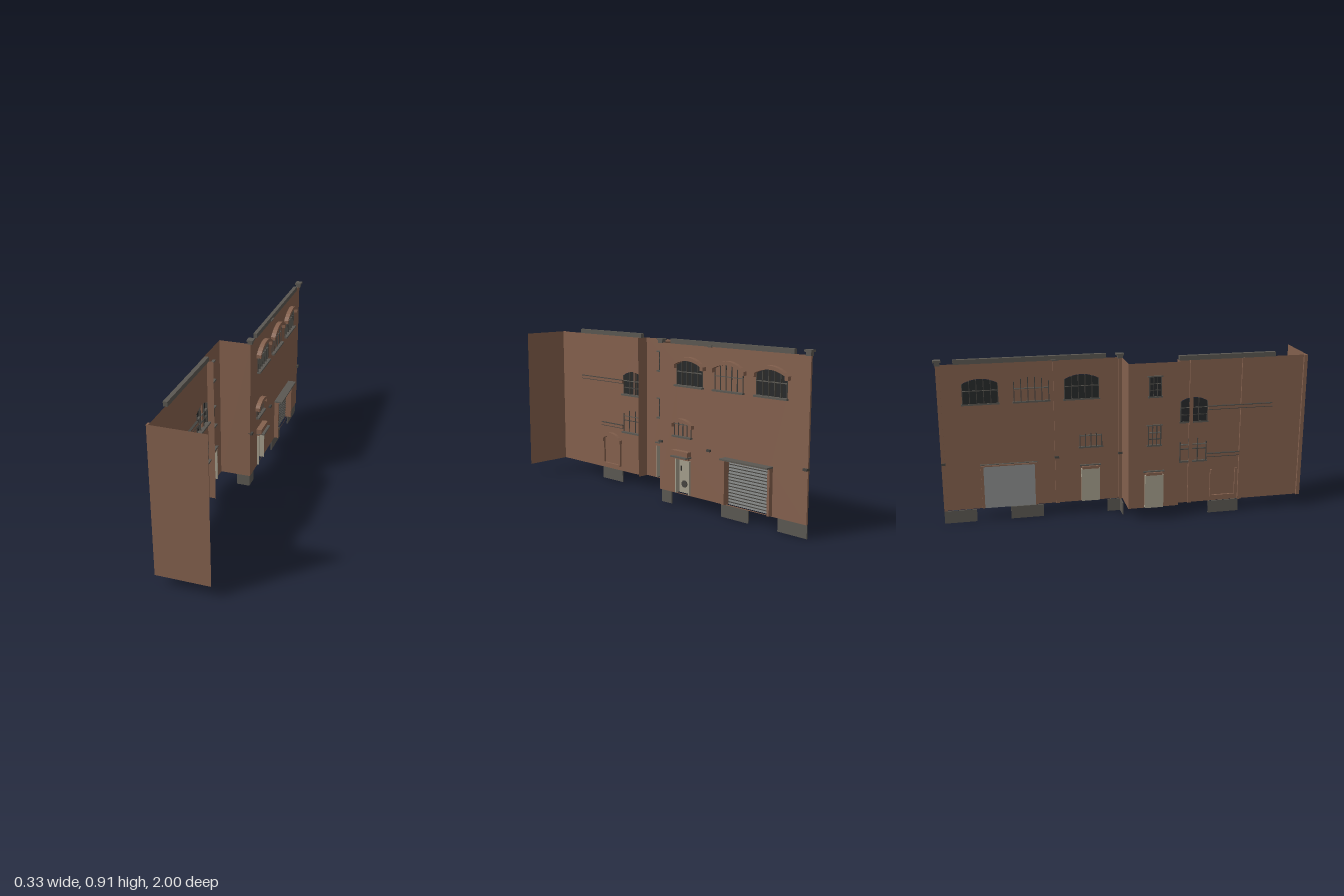
import * as THREE from 'three';

const mat = (name, color) => {
  const m = new THREE.MeshStandardMaterial({ color, side: THREE.DoubleSide });
  m.name = name;
  return m;
};

export function createModel() {
  const brick = mat('brick', 0x83604d);
  const stone = mat('darkStone', 0x5a5751);
  const iron = mat('iron', 0x45433f);
  const glass = mat('darkGlass', 0x27292a);
  const doorPaint = mat('doorPaint', 0xa39c8a);
  const steel = mat('shutterSteel', 0x8c8e8d);
  const model = new THREE.Group();
  model.name = 'brickFacade';
  const BASE = 0.07, TOP = 0.88;

  const add = (parent, name, geo, m) => {
    const mesh = new THREE.Mesh(geo, m);
    mesh.name = name;
    parent.add(mesh);
    return mesh;
  };
  // Box given by its limits
  const box = (parent, name, m, x0, x1, y0, y1, z0, z1) => {
    const b = add(parent, name, new THREE.BoxGeometry(x1 - x0, y1 - y0, z1 - z0), m);
    b.position.set((x0 + x1) / 2, (y0 + y1) / 2, (z0 + z1) / 2);
    return b;
  };

  // Opening outline, with a shallow arch when rise > 0
  const outline = (o, C = THREE.Shape) => {
    const s = new C(), spring = o.y1 - (o.rise || 0);
    s.moveTo(o.a, o.y0);
    s.lineTo(o.b, o.y0);
    s.lineTo(o.b, spring);
    if (o.rise) s.quadraticCurveTo((o.a + o.b) / 2, o.y1 + o.rise, o.a, spring);
    else s.lineTo(o.a, spring);
    s.closePath();
    return s;
  };

  // Facade group: local x runs along -z, local z points outward to +x
  const facade = (name, x, a, b, holes) => {
    const g = new THREE.Group();
    g.name = name;
    g.rotation.y = Math.PI / 2;
    g.position.x = x;
    model.add(g);
    const s = outline({ a, b, y0: BASE, y1: TOP });
    holes.forEach((h) => s.holes.push(outline(h, THREE.Path)));
    add(g, 'wall', new THREE.ShapeGeometry(s, 10), brick);
    return g;
  };

  // Raised brick arch over an opening
  const brow = (g, o, t, depth) => {
    const spring = o.y1 - o.rise, mid = (o.a + o.b) / 2, low = spring - 0.02;
    const s = new THREE.Shape();
    s.moveTo(o.a - t, low);
    s.lineTo(o.a - t, spring);
    s.quadraticCurveTo(mid, o.y1 + o.rise + 2 * t, o.b + t, spring);
    s.lineTo(o.b + t, low);
    s.lineTo(o.b, low);
    s.lineTo(o.b, spring);
    s.quadraticCurveTo(mid, o.y1 + o.rise, o.a, spring);
    s.lineTo(o.a, low);
    s.closePath();
    add(g, 'brickArch', new THREE.ExtrudeGeometry(s, { depth, bevelEnabled: false, curveSegments: 10 }), brick);
  };

  // Window with bars and sill; blind ones keep the brick behind the bars
  const windowUnit = (g, o) => {
    if (o.glazed) add(g, 'pane', new THREE.ShapeGeometry(outline(o), 10), glass).position.z = -0.008;
    const r = 0.002, n = o.bars, rise = o.rise || 0;
    for (let i = 0; i <= n; i++) {
      const t = i / n, u = o.a + (o.b - o.a) * t;
      const top = o.y1 - rise + 4 * rise * t * (1 - t);
      box(g, 'windowBar', iron, u - r, u + r, o.y0, top, -0.011, 0.004);
    }
    for (const y of o.rails) box(g, 'windowRail', y === o.rails[0] ? stone : iron, o.a, o.b, y - r, y + r, -0.011, 0.004);
    box(g, 'sill', stone, o.a - 0.008, o.b + 0.008, o.y0 - 0.007, o.y0 + 0.002, -0.01, 0.018);
    if (rise && !o.plain) brow(g, o, 0.02, 0.025);
    if (!rise) box(g, 'windowLintel', stone, o.a - 0.01, o.b + 0.01, o.y1, o.y1 + 0.006, -0.008, 0.015);
  };

  const doorUnit = (g, o, hood) => {
    box(g, 'doorLeaf', doorPaint, o.a, o.b, o.y0, o.y1, -0.02, -0.015);
    for (const [u0, u1] of [[o.a - 0.006, o.a], [o.b, o.b + 0.006]])
      box(g, 'doorJamb', doorPaint, u0, u1, o.y0, o.y1, -0.02, 0.012);
    box(g, 'doorHead', brick, o.a, o.b, o.y1, o.y1 + 0.015, -0.02, 0.012);
    box(g, 'doorHood', stone, o.a - 0.013, o.b + 0.013, o.y1 + 0.015, o.y1 + 0.022, -0.01, hood);
  };

  // Main wing
  const upper = [0.13, 0.4, 0.67].map((a, i) => ({
    a, b: a + 0.185, y0: 0.663, y1: 0.797, rise: 0.024, bars: 5, rails: [0.735], glazed: i !== 1,
  }));
  const doorA = { a: 0.135, b: 0.225, y0: 0.075, y1: 0.262 };
  const gate = { a: 0.488, b: 0.765, y0: 0.075, y1: 0.312 };
  const main = facade('mainWing', 0.02, 0, 0.985, [...upper.filter((w) => w.glazed), doorA, gate]);
  upper.forEach((w) => windowUnit(main, w));
  const small = { a: 0.115, b: 0.235, y0: 0.388, y1: 0.465, rise: 0.008, bars: 4, rails: [0.452] };
  windowUnit(main, small);
  doorUnit(main, doorA, 0.045);
  box(main, 'doorCanopy', brick, 0.115, 0.235, 0.285, 0.312, 0, 0.03);
  box(main, 'doorHandle', iron, 0.148, 0.153, 0.195, 0.222, -0.015, -0.009);
  const vent = add(main, 'doorVent', new THREE.CylinderGeometry(0.02, 0.02, 0.005, 12), iron);
  vent.rotation.x = Math.PI / 2;
  vent.position.set(0.175, 0.125, -0.013);

  // Roller shutter
  box(main, 'shutter', steel, gate.a, gate.b, gate.y0, gate.y1, -0.018, -0.012);
  for (let i = 0; i < 14; i++) {
    const y = gate.y0 + 0.012 + i * 0.0165;
    box(main, 'shutterGroove', iron, gate.a, gate.b, y, y + 0.004, -0.013, -0.008);
  }
  for (const [u0, u1] of [[gate.a - 0.014, gate.a], [gate.b, gate.b + 0.014]])
    box(main, 'shutterJamb', brick, u0, u1, gate.y0, gate.y1, -0.018, 0.025);
  box(main, 'shutterHead', brick, gate.a - 0.014, gate.b + 0.014, gate.y1 - 0.004, gate.y1 + 0.006, -0.018, 0.03);
  box(main, 'shutterLintel', stone, gate.a - 0.016, gate.b + 0.016, gate.y1 + 0.002, gate.y1 + 0.01, -0.01, 0.048);

  // Coping, parapet caps, clamps and rear piers of the main wing
  box(main, 'coping', stone, 0.088, 0.895, TOP, 0.905, -0.012, 0.008);
  for (const [u, h] of [[0.012, 0.022], [0.365, 0.008], [0.975, 0.026]]) {
    box(main, 'capNeck', stone, u - 0.014, u + 0.014, TOP - 0.003, TOP + h * 0.6, -0.016, 0.01);
    box(main, 'capTop', stone, u - 0.02, u + 0.022, TOP + h * 0.6, TOP + h, -0.02, 0.015);
    box(main, 'wallClamp', iron, u - 0.012, u + 0.012, 0.334, 0.346, -0.015, 0.012);
    box(main, 'rearPier', brick, u - 0.01, u + 0.01, BASE, TOP, -0.012, -0.001);
  }
  for (const [a, b] of [[0.01, 0.085], [0.445, 0.625], [0.81, 0.985]])
    box(main, 'footing', stone, a, b, 0, BASE, -0.012, -0.006);

  // Recessed bay
  const doorB = { a: -0.185, b: -0.095, y0: 0.075, y1: 0.262 };
  const bayTop = { a: -0.175, b: -0.112, y0: 0.7, y1: 0.805, bars: 3, rails: [0.77, 0.735], glazed: true };
  const bayLow = { a: -0.175, b: -0.108, y0: 0.43, y1: 0.537, bars: 3, rails: [0.5, 0.465] };
  const bay = facade('recessedBay', -0.153, -0.28, 0, [doorB, bayTop]);
  windowUnit(bay, bayTop);
  windowUnit(bay, bayLow);
  doorUnit(bay, doorB, 0.015);

  // Side wing
  const sideTop = { a: -0.44, b: -0.293, y0: 0.54, y1: 0.675, rise: 0.022, bars: 3, rails: [0.62, 0.58], glazed: true, plain: true };
  const sideLow = { a: -0.44, b: -0.293, y0: 0.315, y1: 0.447, rise: 0.022, bars: 3, rails: [0.41, 0.385], plain: true };
  const side = facade('sideWing', -0.12, -1, -0.28, [sideTop]);
  windowUnit(side, sideTop);
  windowUnit(side, sideLow);
  // Blocked archway
  const arch = { a: -0.61, b: -0.48, y0: 0.1, y1: 0.275, rise: 0.02 };
  brow(side, arch, 0.018, 0.02);
  for (const [u0, u1] of [[arch.a - 0.012, arch.a], [arch.b, arch.b + 0.012]])
    box(side, 'archJamb', brick, u0, u1, arch.y0, 0.255, -0.01, 0.012);
  box(side, 'archSill', brick, arch.a - 0.012, arch.b + 0.012, 0.095, arch.y0 + 0.004, -0.01, 0.015);
  // String courses
  for (const [a, y] of [[-0.81, 0.612], [-0.63, 0.342]]) {
    box(side, 'stringCourse', brick, a, -0.445, y - 0.008, y + 0.008, -0.012, 0.012);
    for (const s of [-1, 1])
      box(side, 'stringEdge', iron, a, -0.445, y + s * 0.009 - 0.0015, y + s * 0.009 + 0.0015, -0.014, 0.014);
  }
  box(side, 'coping', stone, -0.815, -0.28, TOP, 0.905, -0.01, 0.012);
  box(side, 'footing', stone, -0.635, -0.46, 0, BASE, -0.008, -0.002);
  for (const u of [-0.35, -0.64, -0.99])
    box(side, 'rearPier', brick, u - 0.01, u + 0.01, BASE, TOP, -0.012, -0.001);

  // Return walls facing front
  const returnWall = (name, x0, x1, z) => {
    const w = add(model, name, new THREE.PlaneGeometry(x1 - x0, TOP - BASE), brick);
    w.position.set((x0 + x1) / 2, (TOP + BASE) / 2, z);
  };
  returnWall('endWall', -0.132, 0.155, 1);
  returnWall('bayReturnWall', -0.153, -0.085, 0.28);
  returnWall('mainReturnWall', -0.153, 0.02, 0);
  box(model, 'cornerFooting', stone, -0.06, 0.012, 0, BASE, -0.014, -0.008);

  return model;
}
